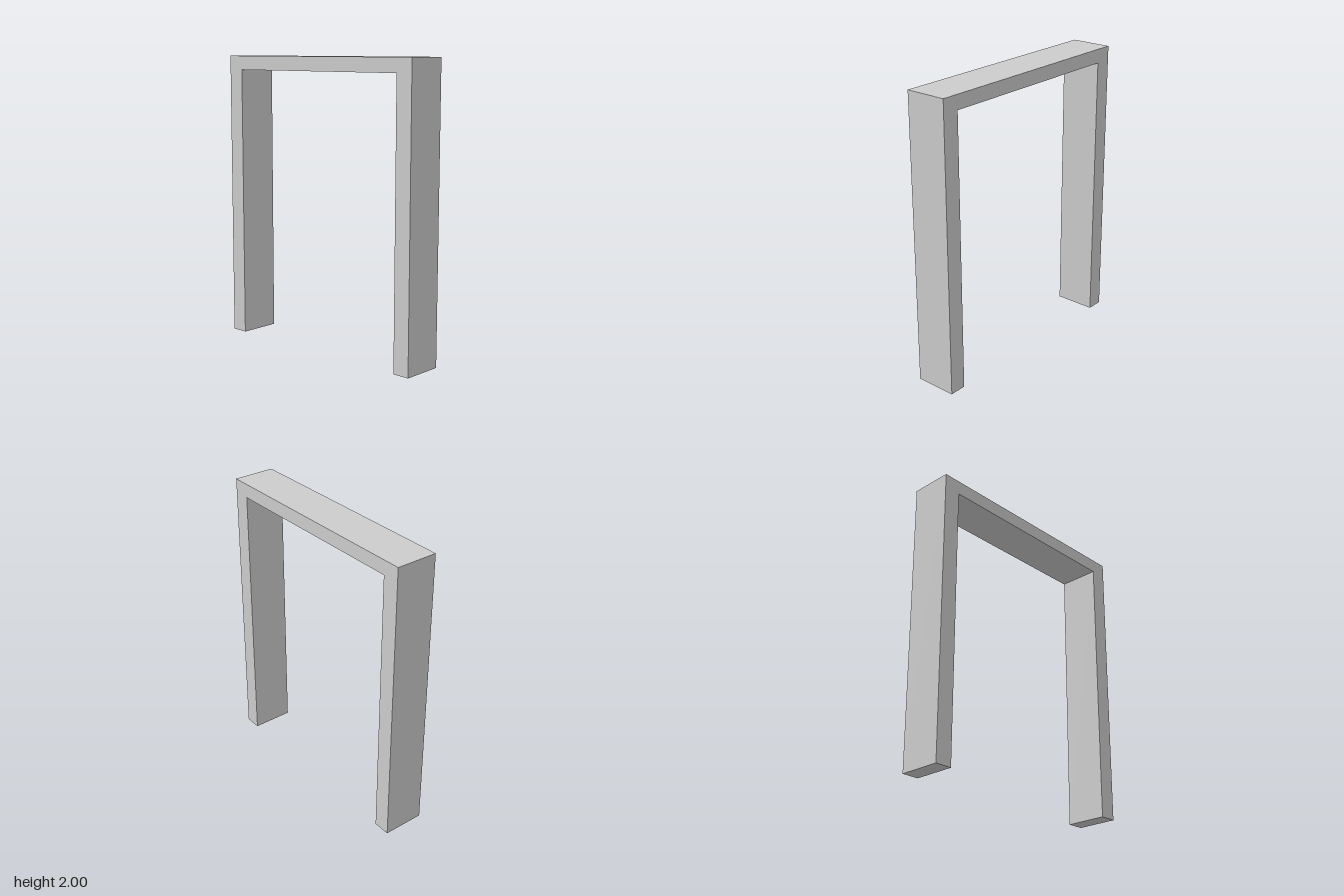
import * as THREE from 'three';

const HEIGHT = 2;
const DEPTH = 0.29;
const OUTER = 0.824; // half width outside
const INNER = 0.705; // half width of the opening
const OPENING = 1.903; // height of the opening

export function createModel() {
  const group = new THREE.Group();
  group.name = 'doorway';

  // Two jambs and a lintel as one continuous outline
  const outline = new THREE.Shape([
    [-OUTER, 0], [-INNER, 0], [-INNER, OPENING], [INNER, OPENING],
    [INNER, 0], [OUTER, 0], [OUTER, HEIGHT], [-OUTER, HEIGHT],
  ].map(([x, y]) => new THREE.Vector2(x, y)));

  const geometry = new THREE.ExtrudeGeometry(outline, { depth: DEPTH, bevelEnabled: false });
  geometry.translate(0, 0, -DEPTH / 2);

  const frame = new THREE.Mesh(geometry, new THREE.MeshStandardMaterial({ color: 0xcccccc }));
  frame.name = 'doorFrame';
  group.add(frame);
  return group;
}
